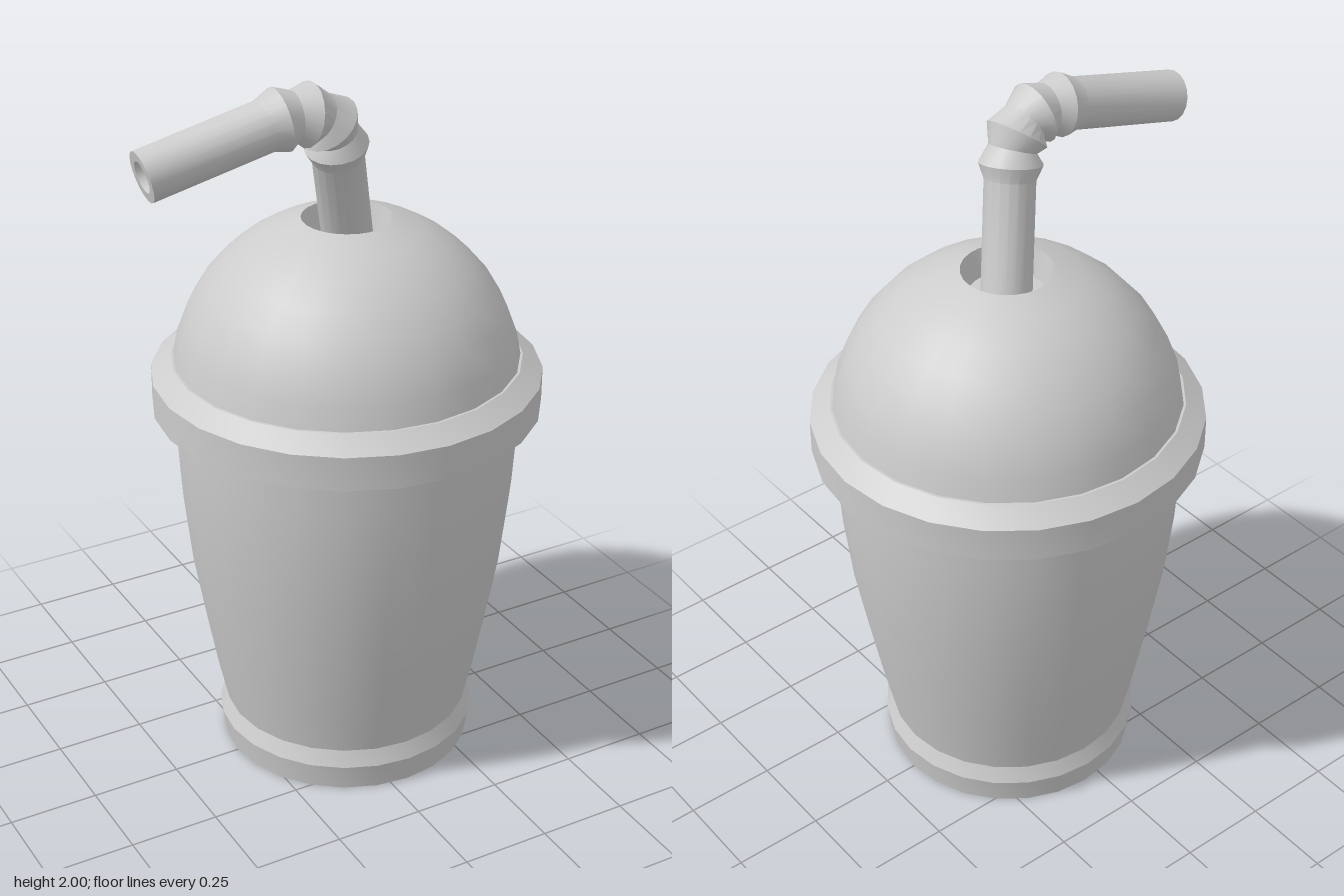
import * as THREE from 'three';
import { toCreasedNormals } from 'three/addons/utils/BufferGeometryUtils.js';

const material = new THREE.MeshStandardMaterial({ color: 0xcccccc, side: THREE.DoubleSide });
const SIDES = 24;

function part(name, geometry, crease = 0.5) {
  const mesh = new THREE.Mesh(toCreasedNormals(geometry, crease), material);
  mesh.name = name;
  return mesh;
}

// Profile points are [radius, height], running bottom to top on the outside
function turned(name, profile, crease) {
  const points = profile.map(([r, y]) => new THREE.Vector2(r, y));
  return part(name, new THREE.LatheGeometry(points, SIDES), crease);
}

// Skin a row of circular rings { at, dir, r }
function ringSkin(rings, sides) {
  const positions = [], index = [];
  const up = new THREE.Vector3(0, 1, 0);
  rings.forEach(({ at, dir, r }, i) => {
    const turn = new THREE.Quaternion().setFromUnitVectors(up, dir);
    for (let j = 0; j < sides; j++) {
      const a = (j / sides) * Math.PI * 2;
      const p = new THREE.Vector3(Math.sin(a) * r, 0, Math.cos(a) * r).applyQuaternion(turn).add(at);
      positions.push(p.x, p.y, p.z);
      if (i === 0) continue;
      const k = (j + 1) % sides, lo = (i - 1) * sides, hi = i * sides;
      index.push(lo + j, lo + k, hi + k, lo + j, hi + k, hi + j);
    }
  });
  const geometry = new THREE.BufferGeometry();
  geometry.setAttribute('position', new THREE.Float32BufferAttribute(positions, 3));
  geometry.setIndex(index);
  return geometry;
}

function createStraw() {
  const bottom = new THREE.Vector3(0.075, 1.43, -0.024);
  const bend = new THREE.QuadraticBezierCurve3(
    new THREE.Vector3(-0.03, 1.82, 0.085),
    new THREE.Vector3(-0.062, 1.945, 0.114),
    new THREE.Vector3(-0.2, 1.921, 0.105));
  const tip = new THREE.Vector3(-0.567, 1.831, 0.083);
  const radius = 0.068;

  // Straight lower length
  const lowDir = bend.getTangent(0);
  const rings = [
    { at: bottom, dir: lowDir, r: radius },
    { at: bend.v0.clone().addScaledVector(lowDir, -0.04), dir: lowDir, r: radius },
  ];
  // Corrugated bend: four ridges with three valleys between
  for (let i = 0; i <= 6; i++) {
    const u = i / 6;
    rings.push({ at: bend.getPointAt(u), dir: bend.getTangentAt(u), r: i % 2 ? 0.064 : 0.084 });
  }
  // Straight upper length, then back into the hollow mouth
  const endDir = tip.clone().sub(bend.v2).normalize();
  const along = (d) => tip.clone().addScaledVector(endDir, d);
  rings.push(
    { at: bend.v2.clone().addScaledVector(endDir, 0.045), dir: endDir, r: radius },
    { at: along(0), dir: endDir, r: radius },
    { at: along(0), dir: endDir, r: 0.042 },
    { at: along(-0.25), dir: endDir, r: 0.042 },
    { at: along(-0.25), dir: endDir, r: 0.0005 });
  return part('straw', ringSkin(rings, 18), 0.45);
}

export function createModel() {
  const model = new THREE.Group();
  model.name = 'drinkCup';

  const vessel = new THREE.Group();
  vessel.name = 'vessel';
  vessel.position.x = 0.05;
  model.add(vessel);

  // Tapered cup with a foot band
  vessel.add(turned('cup', [
    [0, 0], [0.353, 0], [0.364, 0.075], [0.345, 0.12], [0.372, 0.24], [0.402, 0.4],
    [0.437, 0.6], [0.459, 0.8], [0.468, 0.95], [0.47, 1.1],
  ], 0.4));

  // Lid rim with a bevelled top
  vessel.add(turned('lidRim', [
    [0.465, 1.05], [0.53, 1.05], [0.53, 1.145], [0.475, 1.185], [0.46, 1.185],
  ]));

  // Domed lid with a recessed straw opening
  const dome = [];
  const centerY = 1.12, domeRadius = 0.474, last = Math.asin(0.458 / domeRadius);
  for (let i = 0; i <= 7; i++) {
    const a = 0.1 + (last - 0.1) * (i / 7);
    dome.push([Math.cos(a) * domeRadius, centerY + Math.sin(a) * domeRadius]);
  }
  dome.push([0.105, 1.5], [0, 1.5]);
  vessel.add(turned('domeLid', dome));

  model.add(createStraw());
  return model;
}
